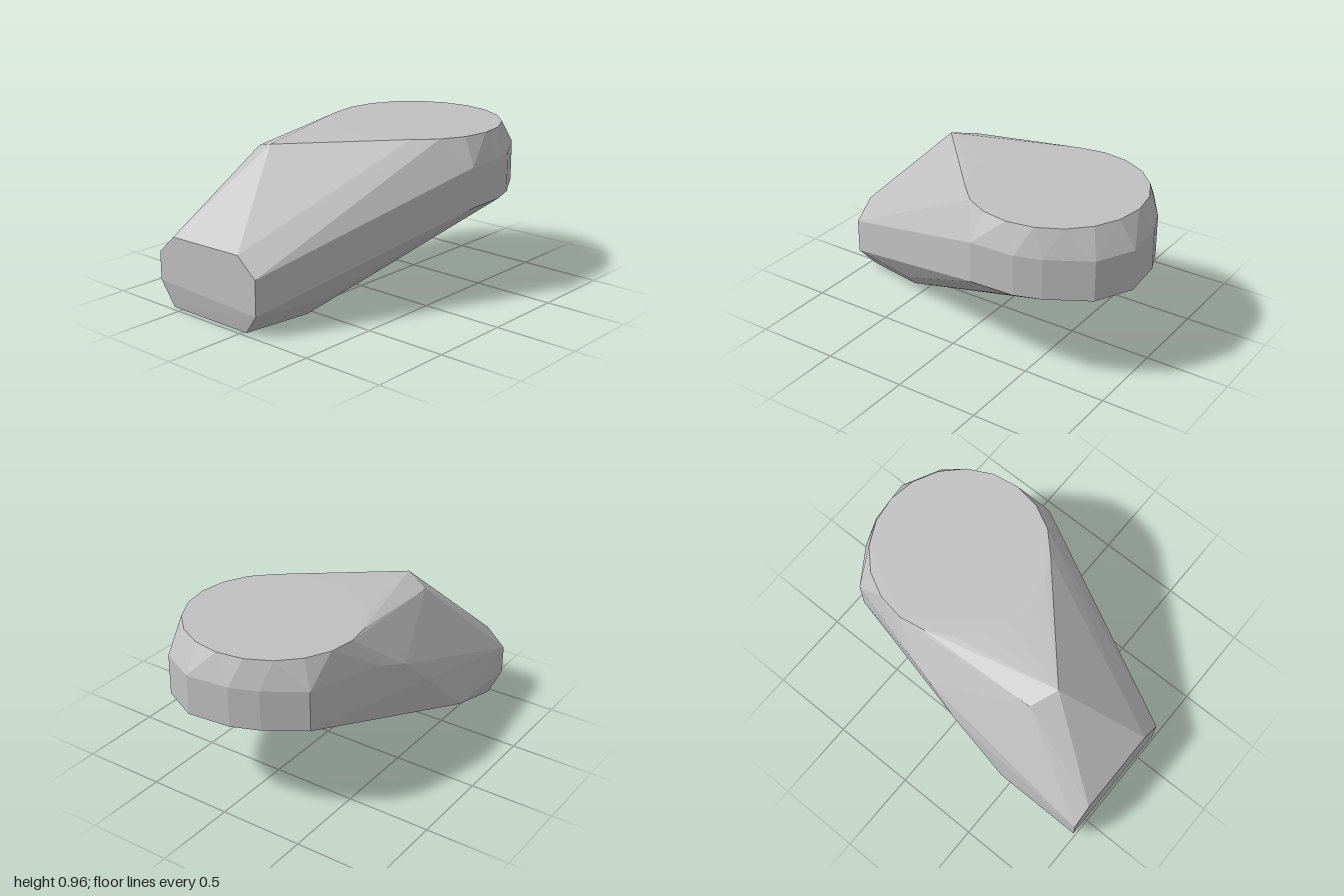
import * as THREE from 'three';
import { ConvexGeometry } from 'three/addons/geometries/ConvexGeometry.js';

export function createModel() {
  const group = new THREE.Group();
  const grey = new THREE.MeshStandardMaterial({ color: 0xc0c0c0 });
  grey.name = 'stone grey';
  const points = [];
  const add = (x, y, z) => points.push(new THREE.Vector3(x, y, z));

  // round flat top
  for (let i = 0; i < 20; i++) {
    const a = (i / 20) * Math.PI * 2;
    add(0.065 + 0.515 * Math.cos(a), 0.96, -0.42 + 0.51 * Math.sin(a));
  }

  // upright wall around the rounded back
  const wall = [[0.64, -0.23], [0.63, -0.5], [0.58, -0.65], [0.44, -0.89],
    [0.22, -1], [-0.04, -0.975], [-0.2, -0.91], [-0.42, -0.765]];
  for (const [x, z] of wall) {
    add(x, 0.8, z);
    add(x, 0.56, z);
  }

  // blunt front end
  const nose = [[-0.52, 0.44], [0, 0.45], [0.13, 0.34], [0.13, 0.13], [-0.64, 0.16], [-0.64, 0.33]];
  for (const [x, y] of nose) add(x, y, 1);
  add(-0.57, 0, 0.97);
  add(0.02, 0, 0.97);

  // ridge where the top slopes down to the front
  add(-0.22, 0.935, 0.52);
  add(-0.38, 0.89, 0.45);

  // curved flank
  add(-0.49, 0.8, -0.49);
  add(-0.55, 0.77, -0.27);
  add(-0.585, 0.71, -0.1);
  add(-0.62, 0.53, 0.1);
  add(-0.643, 0.19, 0.46);

  // underside corners
  add(-0.37, 0.055, 0.43);
  add(0.11, 0.02, 0.58);
  add(0.21, 0.12, 0.55);

  const body = new THREE.Mesh(new ConvexGeometry(points), grey);
  body.name = 'facetedBody';
  group.add(body);
  return group;
}
